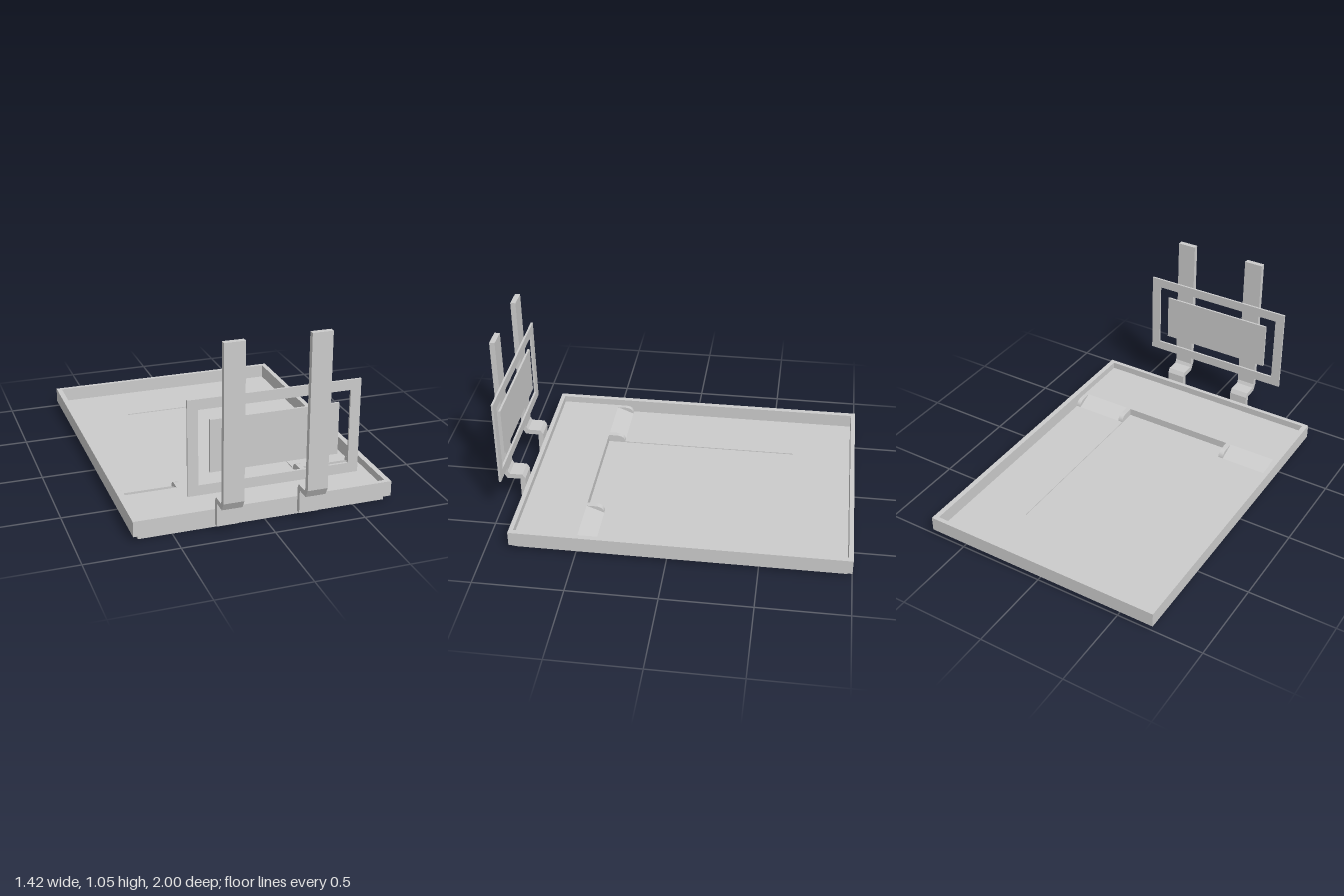
import * as THREE from 'three';

const material = new THREE.MeshStandardMaterial({ color: 0xcccccc, flatShading: true });

// Rectangle in the x/y plane; as a hole or as an outline
function rect(x0, y0, x1, y1, Type = THREE.Shape) {
  const p = new Type();
  p.moveTo(x0, y0);
  p.lineTo(x1, y0);
  p.lineTo(x1, y1);
  p.lineTo(x0, y1);
  p.closePath();
  return p;
}

function extrude(shape, depth) {
  return new THREE.ExtrudeGeometry(shape, { depth, bevelEnabled: false, curveSegments: 10 });
}

export function createModel() {
  const model = new THREE.Group();
  model.name = 'trayWithUprightHolder';

  const add = (name, geometry) => {
    const mesh = new THREE.Mesh(geometry, material);
    mesh.name = name;
    model.add(mesh);
  };

  const box = (name, x0, x1, y0, y1, z0, z1) => {
    const g = new THREE.BoxGeometry(x1 - x0, y1 - y0, z1 - z0);
    g.translate((x0 + x1) / 2, (y0 + y1) / 2, (z0 + z1) / 2);
    add(name, g);
  };

  // Horizontal slab with a rectangular opening, given as [x0, z0, x1, z1]
  const slab = (name, outer, hole, y0, y1) => {
    const s = rect(outer[0], -outer[3], outer[2], -outer[1]);
    s.holes.push(rect(hole[0], -hole[3], hole[2], -hole[1], THREE.Path));
    add(name, extrude(s, y1 - y0).rotateX(-Math.PI / 2).translate(0, y0, 0));
  };

  // Side profile drawn in (z, y), swept from x0 to x1
  const sweep = (name, shape, x0, x1) =>
    add(name, extrude(shape, x1 - x0).rotateY(-Math.PI / 2).translate(x1, 0, 0));

  const floorY = 0.035, deckY = 0.075;

  // Tray: rim, floor with opening, slightly recessed hatch panel, raised front deck
  slab('trayRim', [-0.71, -1, 0.71, 0.87], [-0.68, -0.975, 0.68, 0.845], 0.03, 0.115);
  slab('trayFloor', [-0.68, -0.975, 0.68, 0.845], [-0.34, -0.635, 0.34, 0.5], 0, floorY);
  box('hatchPanel', -0.34, 0.34, 0.02, 0.03, -0.635, 0.5);
  box('frontDeck', -0.68, 0.68, floorY, deckY, 0.5, 0.845);

  // Ramps up to the deck, each between two rounded cheeks
  const ramp = new THREE.Shape();
  ramp.moveTo(0.4, floorY);
  ramp.lineTo(0.5, floorY);
  ramp.lineTo(0.5, deckY);
  ramp.closePath();

  const cheek = new THREE.Shape();
  cheek.moveTo(0.4, floorY);
  cheek.lineTo(0.5, floorY);
  cheek.lineTo(0.5, deckY);
  cheek.lineTo(0.45, deckY);
  cheek.quadraticCurveTo(0.405, deckY, 0.4, floorY);

  // Stepped strap that rises from the tray front
  const strap = new THREE.Shape([
    [0.87, 0.03], [0.9, 0.03], [0.9, 0.16], [0.975, 0.16], [1, 0.205], [1, 1.05],
    [0.97, 1.05], [0.97, 0.21], [0.96, 0.19], [0.885, 0.19], [0.87, 0.165],
  ].map(([z, y]) => new THREE.Vector2(z, y)));

  for (const side of [1, -1]) {
    const label = side > 0 ? 'left' : 'right';
    const mirrored = (name, shape, a, b) =>
      sweep(label + name, shape, Math.min(a * side, b * side), Math.max(a * side, b * side));
    mirrored('Ramp', ramp, 0.37, 0.655);
    mirrored('InnerCheek', cheek, 0.34, 0.37);
    mirrored('OuterCheek', cheek, 0.655, 0.68);
    mirrored('Strap', strap, 0.17, 0.28);
  }

  // Open frame and centre plate fixed behind the straps
  const frame = rect(-0.455, 0.26, 0.455, 0.77);
  frame.holes.push(rect(-0.4, 0.315, 0.4, 0.715, THREE.Path));
  add('holderFrame', extrude(frame, 0.012).translate(0, 0, 0.958));
  box('holderPlate', -0.34, 0.34, 0.375, 0.655, 0.958, 0.97);

  return model;
}
